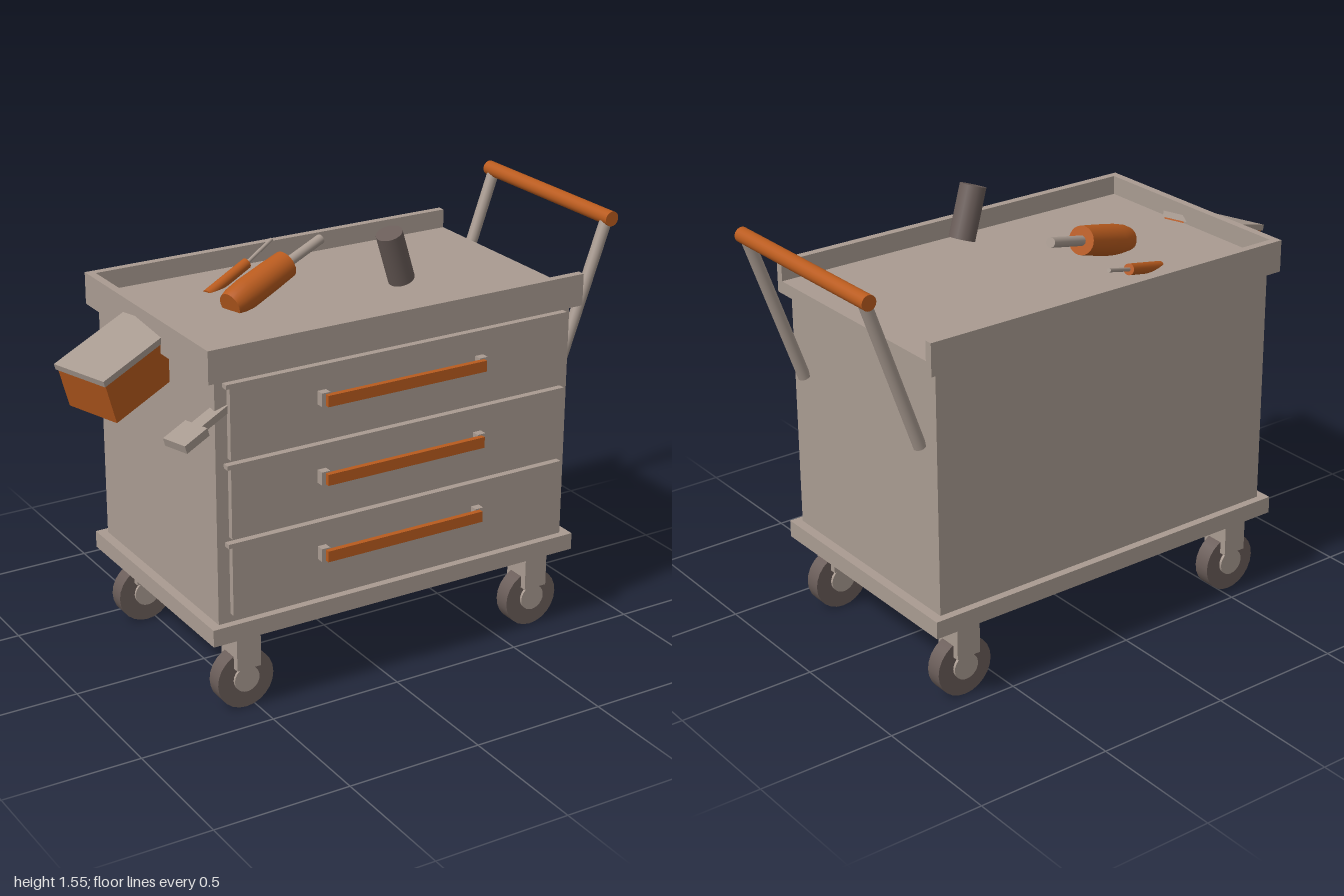
import * as THREE from 'three';

const mat = (name, color) => {
  const m = new THREE.MeshStandardMaterial({ color });
  m.name = name;
  return m;
};

export function createModel() {
  const steel = mat('warm grey steel', 0xa99b91);
  const orange = mat('orange', 0xb95b1e);
  const rubber = mat('dark rubber', 0x6a5d59);

  const root = new THREE.Group();
  root.name = 'toolCart';

  const add = (name, geo, material, parent = root) => {
    const m = new THREE.Mesh(geo, material);
    m.name = name;
    parent.add(m);
    return m;
  };
  // Box given by its lower and upper limits on each axis
  const box = (name, [x0, x1], [y0, y1], [z0, z1], material = steel, parent = root) => {
    const m = add(name, new THREE.BoxGeometry(x1 - x0, y1 - y0, z1 - z0), material, parent);
    m.position.set((x0 + x1) / 2, (y0 + y1) / 2, (z0 + z1) / 2);
    return m;
  };
  // Places a y-aligned geometry so that its axis runs from a to b
  const align = (mesh, a, b) => {
    const dir = b.clone().sub(a);
    mesh.position.copy(a).addScaledVector(dir, 0.5);
    mesh.quaternion.setFromUnitVectors(new THREE.Vector3(0, 1, 0), dir.normalize());
    return mesh;
  };
  const rod = (name, p, q, r, material, parent = root) => {
    const a = new THREE.Vector3(...p), b = new THREE.Vector3(...q);
    const geo = new THREE.CylinderGeometry(r, r, a.distanceTo(b), 24);
    return align(add(name, geo, material, parent), a, b);
  };

  // Cabinet and base
  const WX = [-0.68, 0.8], WZ = [-0.486, 0.42];
  box('cabinet', [-0.645, 0.765], [0.35, 1.23], [-0.457, 0.392]);
  box('basePlate', WX, [0.287, 0.35], WZ);

  // Top tray, open on the handle side
  const t = 0.029;
  box('trayFloor', WX, [1.23, 1.276], WZ);
  box('trayFrontWall', WX, [1.276, 1.346], [WZ[1] - t, WZ[1]]);
  box('trayBackWall', WX, [1.276, 1.346], [WZ[0], WZ[0] + t]);
  box('trayEndWall', [WX[0], WX[0] + t], [1.276, 1.346], [WZ[0] + t, WZ[1] - t]);

  // Drawers with lips and pulls
  for (let i = 0; i < 3; i++) {
    const drawer = new THREE.Group();
    drawer.name = 'drawer' + (i + 1);
    drawer.position.y = -0.283 * i;
    root.add(drawer);
    box('drawerFront', [-0.6, 0.717], [0.948, 1.2], [0.39, 0.414], steel, drawer);
    box('drawerLip', [-0.615, 0.737], [1.2, 1.216], [0.39, 0.417], steel, drawer);
    box('pullBar', [-0.258, 0.372], [1.081, 1.121], [0.441, 0.461], orange, drawer);
    for (const x of [-0.256, 0.371])
      box('pullBracket', [x - 0.016, x + 0.016], [1.078, 1.126], [0.41, 0.443], steel, drawer);
  }

  // Casters
  for (const x of [-0.537, 0.657]) for (const z of [0.347, -0.408]) {
    const caster = new THREE.Group();
    caster.name = 'caster';
    caster.position.set(x, 0, z);
    root.add(caster);
    box('casterMount', [-0.046, 0.046], [0.16, 0.287], [-0.056, 0.056], steel, caster);
    rod('wheel', [0, 0.108, -0.031], [0, 0.108, 0.031], 0.108, rubber, caster);
    rod('hub', [0, 0.112, -0.041], [0, 0.112, 0.041], 0.048, steel, caster);
  }

  // Push handle
  for (const z of [0.315, -0.378])
    rod('handlePost', [0.776, 0.943, z], [0.97, 1.49, z], 0.022, steel);
  rod('handleGrip', [0.971, 1.497, 0.346], [0.971, 1.497, -0.408], 0.027, orange);

  // Loose tools on the tray
  rod('hammerHead', [0.145, 1.537, 0.187], [0.208, 1.359, 0.17], 0.047, rubber);

  const a = new THREE.Vector3(-0.345, 1.295, -0.047), b = new THREE.Vector3(-0.082, 1.375, -0.126);
  const len = a.distanceTo(b);
  const profile = [[0, 0], [0.046, 0], [0.046, 0], [0.053, 0.03], [0.056, 0.08], [0.054, 0.2], [0.051, len], [0.051, len], [0, len]]
    .map(([r, y]) => new THREE.Vector2(r, y - len / 2));
  align(add('largeToolGrip', new THREE.LatheGeometry(profile, 24), orange), a, b);
  rod('largeToolShaft', [-0.09, 1.372, -0.124], [0.093, 1.424, -0.18], 0.018, steel);

  rod('screwdriverGrip', [-0.32, 1.264, -0.26], [-0.12, 1.325, -0.336], 0.02, orange);
  rod('screwdriverShaft', [-0.12, 1.325, -0.336], [0.018, 1.374, -0.398], 0.007, steel);

  // Tilted pieces projecting from the end of the cart
  const tilted = (name, x, y, z) => {
    const g = new THREE.Group();
    g.name = name;
    g.position.set(x, y, z);
    g.rotation.set(0, 0.295, 0.3, 'YZX');
    root.add(g);
    return g;
  };
  const bin = tilted('sideBin', -0.813, 1.256, 0.008);
  box('binLid', [-0.165, 0.165], [-0.022, 0], [-0.12, 0.12], steel, bin);
  box('binBody', [-0.159, 0.159], [-0.172, -0.022], [-0.115, 0.115], orange, bin);

  const wrench = tilted('wrench', -0.765, 1.072, 0.423);
  box('wrenchHead', [-0.053, 0.053], [-0.015, 0.015], [-0.05, 0.05], steel, wrench);
  box('wrenchShank', [0.05, 0.3], [-0.013, 0.013], [-0.024, 0.024], steel, wrench);

  return root;
}
